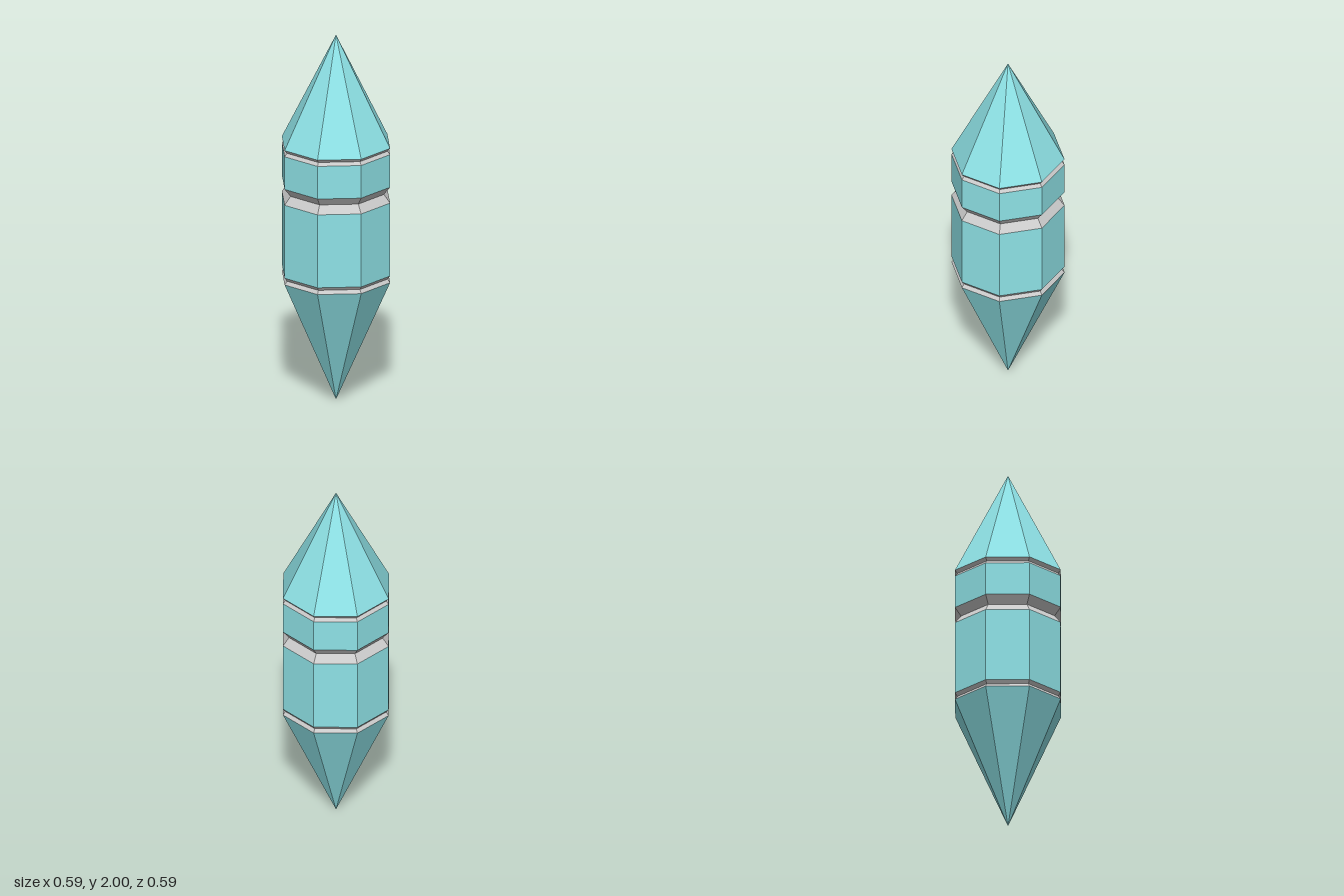
import * as THREE from 'three';

const SIDES = 8;
const R = 0.296;

export function createModel() {
  const model = new THREE.Group();
  model.name = 'crystal';
  const teal = new THREE.MeshStandardMaterial({ color: 0x8ee2e6, flatShading: true });
  const grey = new THREE.MeshStandardMaterial({ color: 0xcccccc, flatShading: true });

  // Octagonal section between two heights, with a corner on each axis
  function section(name, y0, y1, r0, r1, material) {
    const geometry = new THREE.CylinderGeometry(r1, r0, y1 - y0, SIDES, 1, true);
    const mesh = new THREE.Mesh(geometry, material);
    mesh.name = name;
    mesh.position.y = (y0 + y1) / 2;
    model.add(mesh);
  }

  // V-shaped groove: narrows to the waist, then widens again
  function groove(name, y0, y1, waist) {
    const mid = (y0 + y1) / 2;
    section(name + 'Lower', y0, mid, R, waist, grey);
    section(name + 'Upper', mid, y1, waist, R, grey);
  }

  // Crystal segments from bottom to top
  section('bottomPoint', 0, 0.673, 0, R, teal);
  section('lowerBody', 0.71, 1.11, R, R, teal);
  section('upperBody', 1.197, 1.376, R, R, teal);
  section('topPoint', 1.41, 2, R, 0, teal);

  // Grey grooves separating the segments
  groove('bottomGroove', 0.673, 0.71, 0.282);
  groove('middleGroove', 1.11, 1.197, 0.262);
  groove('topGroove', 1.376, 1.41, 0.282);

  return model;
}
